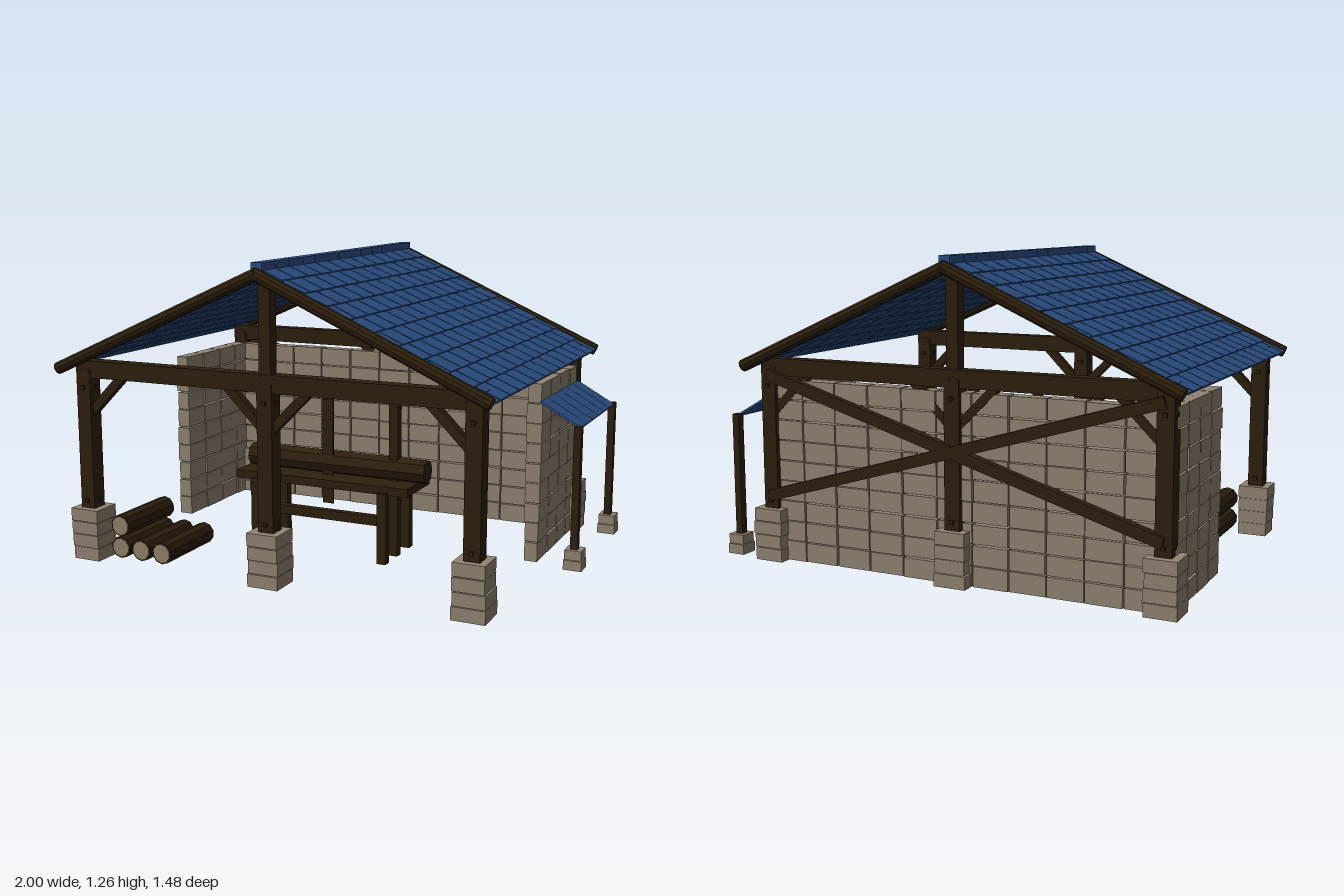
import * as THREE from 'three';
import { mergeGeometries } from 'three/addons/utils/BufferGeometryUtils.js';

const mat = (name, color) => Object.assign(new THREE.MeshStandardMaterial({ color }), { name });

export function createModel() {
  const root = new THREE.Group();
  root.name = 'timberShed';
  const wood = mat('dark wood', 0x2d200d);
  const stone = mat('tan stone', 0x918572);
  const blue = mat('blue shingle', 0x2c4f85);
  const cutWood = mat('cut wood', 0x8f8369);
  const CX = -0.07, POSTS = [-0.91, CX, 0.77], BACK = -0.63, FRONT = 0.63;

  let seed = 7;
  const rand = () => ((seed = (seed * 16807) % 2147483647) / 2147483647) - 0.5;

  const add = (name, material, geos) => {
    const mesh = new THREE.Mesh(mergeGeometries(geos), material);
    mesh.name = name;
    root.add(mesh);
  };
  // box given by its extents
  const box = (x0, x1, y0, y1, z0, z1) =>
    new THREE.BoxGeometry(x1 - x0, y1 - y0, z1 - z0)
      .translate((x0 + x1) / 2, (y0 + y1) / 2, (z0 + z1) / 2);
  // upright or lying box centred on x, z
  const block = (x, z, w, d, y0, y1) => box(x - w / 2, x + w / 2, y0, y1, z - d / 2, z + d / 2);
  // beam in a plane of constant z
  const slant = (x0, y0, x1, y1, z, thick, depth) =>
    new THREE.BoxGeometry(Math.hypot(x1 - x0, y1 - y0), thick, depth)
      .rotateZ(Math.atan2(y1 - y0, x1 - x0))
      .translate((x0 + x1) / 2, (y0 + y1) / 2, z);
  const flat = (geo) => {
    const g = geo.toNonIndexed();
    g.computeVertexNormals();
    return g;
  };

  // posts, stone footings and bolts
  const posts = [], footings = [], bolts = [];
  for (const z of [FRONT, BACK]) for (const x of POSTS) {
    posts.push(block(x, z, 0.065, 0.068, 0.2, 0.8));
    for (let i = 0; i < 4; i++) {
      const w = 0.128 + rand() * 0.012;
      footings.push(block(x + rand() * 0.006, z + rand() * 0.006, w, w, i * 0.055, i * 0.055 + 0.052));
    }
    footings.push(block(x, z, 0.115, 0.115, 0.002, 0.212));
    for (const y of [0.25, 0.725]) {
      bolts.push(block(x, z, 0.016, 0.088, y - 0.008, y + 0.008));
      bolts.push(block(x, z, 0.075, 0.016, y - 0.008, y + 0.008));
    }
  }
  add('posts', wood, posts);
  add('postFootings', stone, footings);
  add('postBolts', wood, bolts);

  // gable trusses: tie beam, king post and knee braces
  const truss = [];
  for (const z of [FRONT, BACK]) {
    truss.push(box(-0.945, 0.805, 0.765, 0.835, z - 0.03, z + 0.03));
    truss.push(block(CX, z, 0.05, 0.05, 0.82, 1.21));
    for (const [x, dir] of [[-0.91, 1], [CX, -1], [CX, 1], [0.77, -1]])
      truss.push(slant(x + dir * 0.02, 0.62, x + dir * 0.18, 0.78, z, 0.035, 0.035));
  }
  add('trusses', wood, truss);

  // crossed braces on the back
  add('backBraces', wood, [
    slant(-0.91, 0.27, 0.77, 0.77, -0.655, 0.045, 0.045),
    slant(-0.91, 0.77, 0.77, 0.27, -0.657, 0.045, 0.045),
  ]);

  // block walls: along x at the back, along z at both sides
  const ROWS = 9, RH = 0.75 / ROWS;
  const wall = (name, along, from, to, cols, fixed) => {
    const geos = [], step = (to - from) / cols;
    for (let r = 0; r < ROWS; r++) for (let c = 0; c < cols; c++) {
      const a = from + c * step + 0.003 + rand() * 0.003, b = from + (c + 1) * step - 0.003 + rand() * 0.003;
      const y0 = r * RH + 0.003 + rand() * 0.003, y1 = (r + 1) * RH - 0.002 + rand() * 0.003;
      const t = 0.03 + rand() * 0.006;
      geos.push(along === 'x' ? box(a, b, y0, y1, fixed - t, fixed + t) : box(fixed - t, fixed + t, y0, y1, a, b));
    }
    add(name, stone, geos);
  };
  wall('backWall', 'x', -0.91, 0.77, 11, -0.615);
  wall('plainSideWall', 'z', -0.63, -0.065, 4, -0.91);
  wall('awningSideWall', 'z', -0.63, -0.065, 4, 0.77);

  // shingled roof slopes
  const RUN = 0.92, RISE = 0.43, N = 10, W = 1.4 / 13, LEN = Math.hypot(RUN, RISE) / N;
  const angle = Math.atan2(RISE, RUN);
  for (const side of [-1, 1]) {
    const geos = [];
    for (let r = 0; r < N; r++) {
      const t = (r + 0.5) / N, shift = r % 2 ? W / 2 : 0;
      for (let c = 0; c < (shift ? 14 : 13); c++) {
        const z0 = Math.max(-0.7, -0.7 + c * W - shift), z1 = Math.min(0.7, -0.7 + (c + 1) * W - shift);
        geos.push(new THREE.BoxGeometry(LEN * 1.14, 0.009, z1 - z0 - 0.006)
          .rotateZ(-side * (angle - 0.05))
          .translate(CX + side * RUN * t, 1.238 - RISE * t, (z0 + z1) / 2));
      }
    }
    add(side > 0 ? 'awningSideRoof' : 'plainSideRoof', blue, geos);
  }

  // ridge caps
  const caps = [];
  for (let i = 0; i < 13; i++) {
    const z = -0.71 + (i * 1.42) / 13;
    caps.push(box(CX - 0.023, CX + 0.023, 1.228, 1.26, z + 0.001, z + 1.42 / 13 - 0.002));
  }
  add('ridgeCaps', blue, caps);

  // round barge logs along the gables
  const barge = [];
  for (const z of [-0.715, 0.715]) for (const side of [-1, 1])
    barge.push(flat(new THREE.CylinderGeometry(0.025, 0.025, Math.hypot(0.92, 0.41) + 0.01, 10)
      .rotateZ(Math.PI / 2 - side * Math.atan2(0.41, 0.92))
      .translate(CX + side * 0.457, 1.012, z)));
  add('bargeLogs', wood, barge);

  // awning on the side wall
  const awning = [], awningPosts = [], awningFeet = [];
  for (let i = 0; i < 6; i++) {
    const w = 0.56 / 6;
    awning.push(slant(0.79, 0.677, 0.962, 0.58, -0.067 - (i + 0.5) * w, 0.009, w - 0.003));
  }
  for (const z of [-0.063, -0.63]) {
    awningPosts.push(block(0.955, z, 0.03, 0.032, 0.07, 0.59));
    awningFeet.push(block(0.957, z, 0.076, 0.076, 0, 0.041), block(0.957, z, 0.07, 0.07, 0.043, 0.083));
  }
  add('awning', blue, awning);
  add('awningPosts', wood, awningPosts);
  add('awningFootings', stone, awningFeet);

  // saw bench with its upright frame and blade
  const bench = [box(-0.465, 0.33, 0.29, 0.325, -0.04, 0.21)];
  for (const x of [-0.363, 0.225]) {
    for (const z of [0.212, -0.042]) bench.push(block(x, z, 0.04, 0.036, 0, 0.3));
    bench.push(block(x, 0.087, 0.04, 0.038, 0, 0.715));
  }
  bench.push(box(-0.38, 0.24, 0.675, 0.715, 0.07, 0.104));
  bench.push(box(-0.36, 0.22, 0.12, 0.16, 0.07, 0.104));
  add('sawBench', wood, bench);
  add('sawBlade', wood, [block(CX, 0.117, 0.05, 0.008, 0.2, 0.65)]);
  add('benchLog', wood, [flat(new THREE.CylinderGeometry(0.05, 0.05, 0.82, 8)
    .rotateZ(Math.PI / 2).translate(-0.04, 0.373, 0.085))]);

  // stacked logs with pale cut ends
  const logs = [], ends = [];
  for (const [x, y] of [[-0.78, 0.052], [-0.68, 0.052], [-0.58, 0.052], [-0.78, 0.145]]) {
    logs.push(flat(new THREE.CylinderGeometry(0.046, 0.046, 0.33, 10).rotateX(Math.PI / 2).translate(x, y, 0.46)));
    for (const z of [0.2945, 0.6255])
      ends.push(new THREE.CylinderGeometry(0.039, 0.039, 0.004, 10).rotateX(Math.PI / 2).translate(x, y, z));
  }
  add('stackedLogs', wood, logs);
  add('logEnds', cutWood, ends);

  return root;
}
